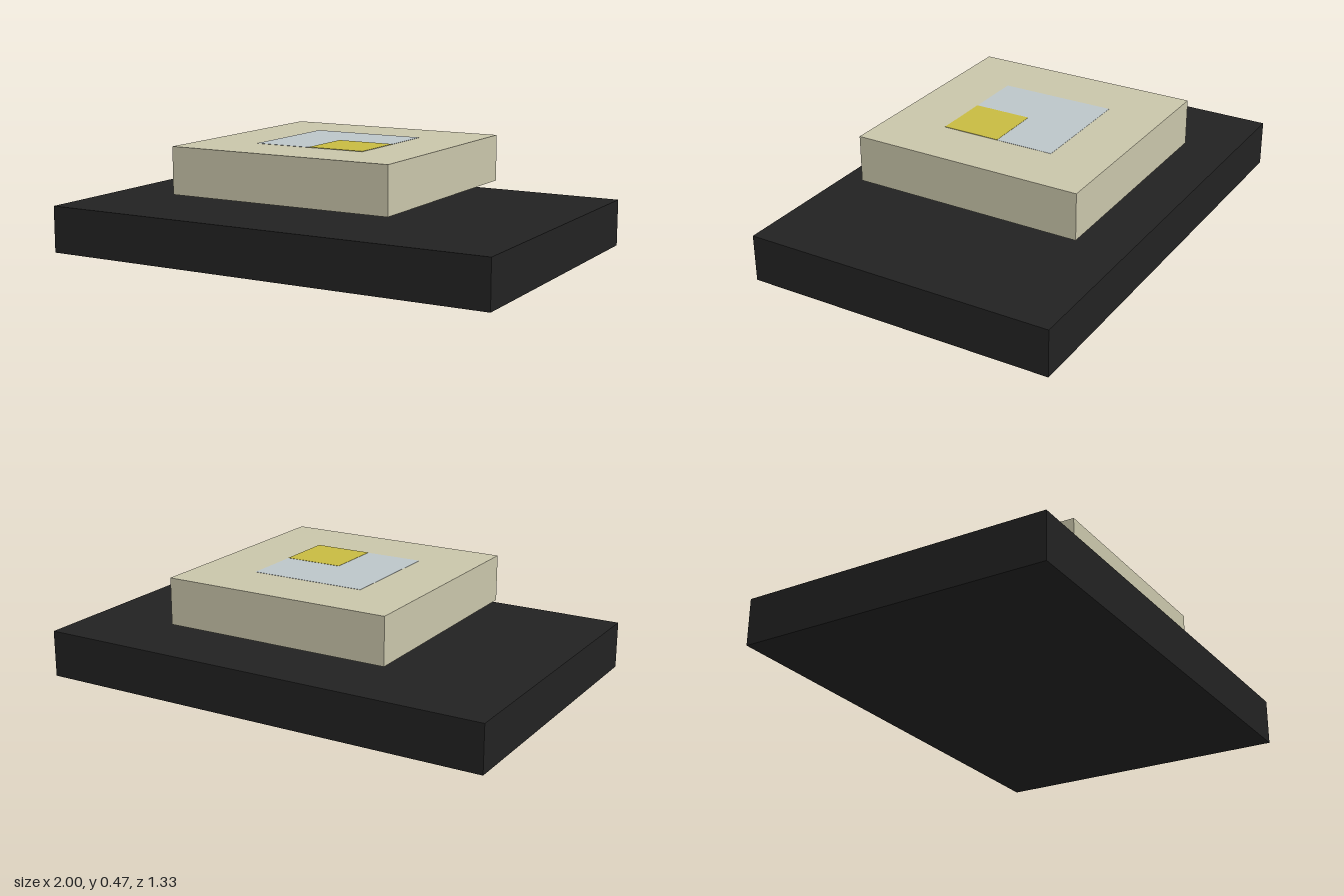
import * as THREE from 'three';

const flat = (name, color) => {
  const m = new THREE.MeshStandardMaterial({ color });
  m.name = name;
  return m;
};

export function createModel() {
  const group = new THREE.Group();
  const charcoal = flat('charcoal', 0x222222);
  const beige = flat('beige', 0xc9c5aa);
  const paleBlue = flat('paleBlue', 0xbcc5c9);
  const yellow = flat('yellow', 0xc8bb42);

  // Box given by its size, its bottom height and its centre in plan
  const addBox = (name, material, [w, h, d], bottom, x = 0, z = 0) => {
    const mesh = new THREE.Mesh(new THREE.BoxGeometry(w, h, d), material);
    mesh.name = name;
    mesh.position.set(x, bottom + h / 2, z);
    group.add(mesh);
  };

  // Base slab, with the upper block floating just above it
  addBox('baseSlab', charcoal, [2, 0.2, 1.333], 0);
  addBox('upperBlock', beige, [1, 0.2, 1], 0.267);

  // Thin coloured squares on the top face
  addBox('blueSquare', paleBlue, [0.5, 0.002, 0.5], 0.466);
  addBox('yellowSquare', yellow, [0.25, 0.003, 0.25], 0.466, 0.125, 0.125);

  return group;
}
